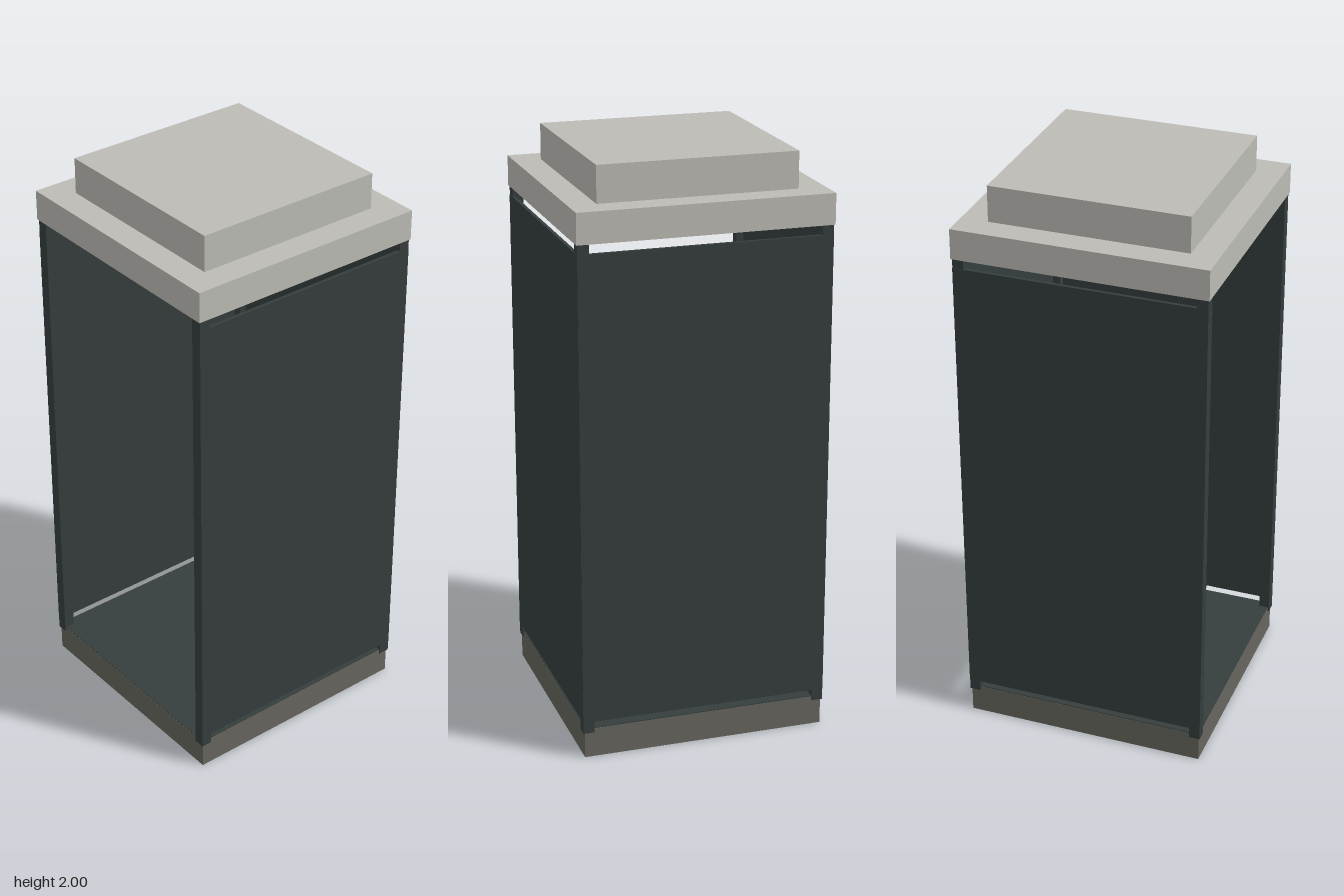
import * as THREE from 'three';

const material = (name, color) => {
  const m = new THREE.MeshStandardMaterial({ color });
  m.name = name;
  return m;
};

export function createModel() {
  const booth = new THREE.Group();
  booth.name = 'booth';
  const paleStone = material('paleStone', 0xbcbbb5);
  const darkStone = material('darkStone', 0x66655e);
  const slate = material('slate', 0x353d3d);

  // Box given by its centre in x and z, and its bottom and top in y
  const box = (name, mat, w, d, y0, y1, x = 0, z = 0) => {
    const mesh = new THREE.Mesh(new THREE.BoxGeometry(w, y1 - y0, d), mat);
    mesh.name = name;
    mesh.position.set(x, (y0 + y1) / 2, z);
    booth.add(mesh);
    return mesh;
  };

  // Base with a thin floor covering
  box('base', darkStone, 0.844, 0.844, 0, 0.103);
  box('floor', slate, 0.842, 0.842, 0.103, 0.106);

  // Corner posts
  for (const x of [-1, 1]) {
    for (const z of [-1, 1]) {
      box('cornerPost', slate, 0.038, 0.038, 0.09, 1.78, x * 0.408, z * 0.408);
    }
  }

  // Side and back walls, the front stays open
  const wallBottom = 0.13, wallTop = 1.74, thick = 0.012;
  for (const x of [-1, 1]) {
    box('sideWall', slate, thick, 0.854, wallBottom, wallTop, x * 0.422, 0);
  }
  box('backWall', slate, 0.854, thick, wallBottom, wallTop, 0, -0.422);

  // Box mounted on the inside of the back wall
  box('wallBox', slate, 0.294, 0.06, 0.895, 1.313, 0, -0.387);

  // Stepped roof
  box('roofSlab', paleStone, 0.862, 0.862, 1.772, 1.876);
  box('roofCap', paleStone, 0.676, 0.676, 1.876, 2);

  return booth;
}
